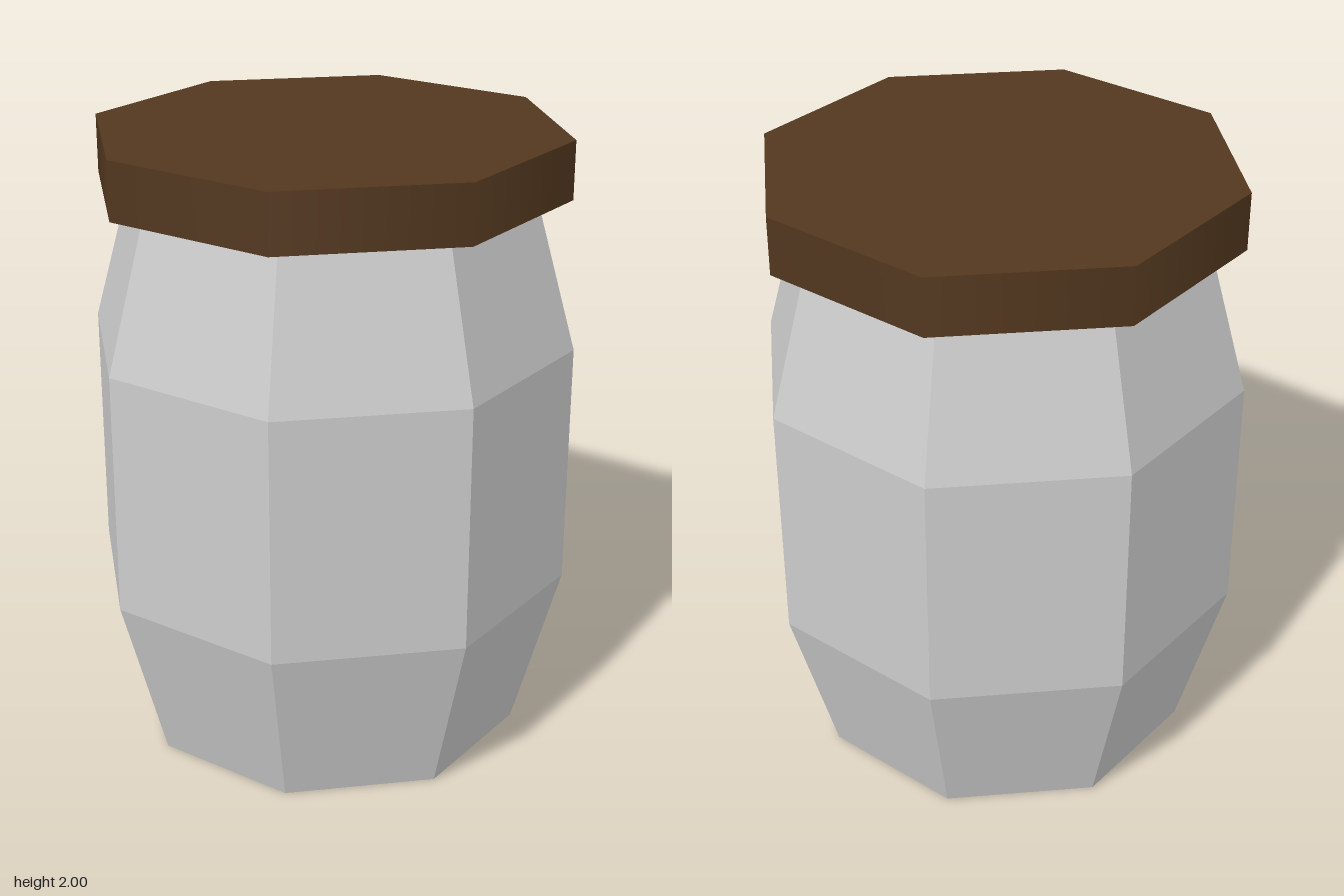
import * as THREE from 'three';

const SIDES = 8;

export function createModel() {
  const model = new THREE.Group();
  model.name = 'jar';

  const glass = new THREE.MeshStandardMaterial({ color: 0xcccccc, flatShading: true });
  glass.name = 'pale grey';
  const wood = new THREE.MeshStandardMaterial({ color: 0x53381f });
  wood.name = 'dark brown';

  // Faceted body: closed octagonal profile, bulging in the middle
  const profile = [[0, 0], [0.63, 0], [0.78, 0.55], [0.78, 1.335], [0.645, 1.82], [0, 1.82]]
    .map(([r, y]) => new THREE.Vector2(r, y));
  const body = new THREE.Mesh(new THREE.LatheGeometry(profile, SIDES), glass);
  body.name = 'body';

  // Overhanging lid with a smoothly shaded rim
  const lid = new THREE.Mesh(new THREE.CylinderGeometry(0.755, 0.755, 0.185, SIDES), wood);
  lid.name = 'lid';
  lid.position.y = 1.9075;

  model.add(body, lid);
  return model;
}
